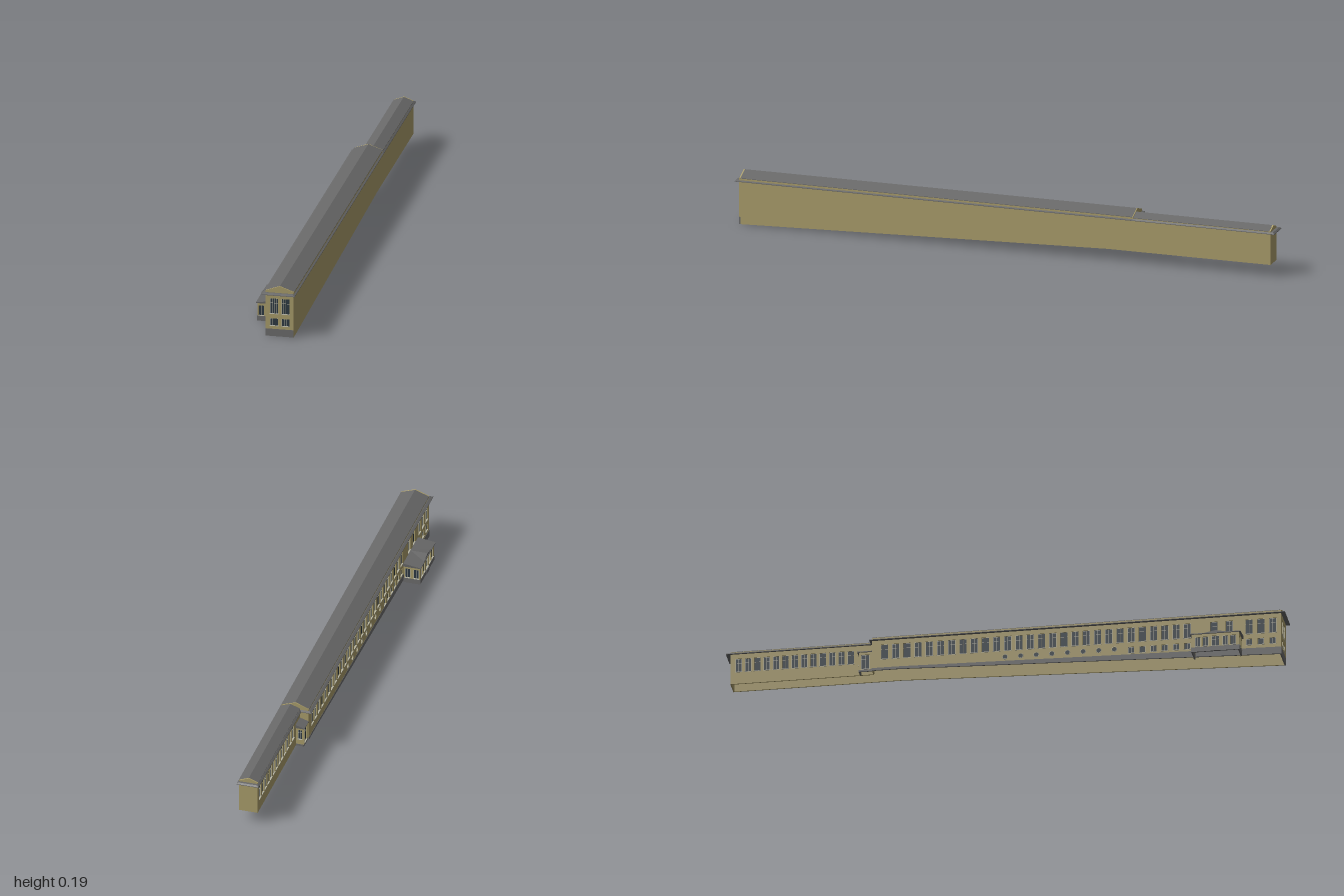
import * as THREE from 'three';
import { mergeGeometries } from 'three/addons/utils/BufferGeometryUtils.js';

const mat = (color) => new THREE.MeshStandardMaterial({ color, side: THREE.DoubleSide });
const TAN = mat(0xada06d), GREY = mat(0x6e6e6e), ROOF = mat(0x686868);
const GLASS = mat(0x2e3a44), FRAME = mat(0xb9b8a8);
const DEPTH = 0.005;

// Sloping ground line, and the top of the plinth above it
const ground = (z) => (z < -0.38 ? 0.043 : 0.043 * (0.985 - z) / 1.365);
const plinth = (z) => (z < -0.38 ? 0.052 : 0.027 + 0.025 * (0.985 - z) / 1.365);

function box(w, h, d, x, y, z) {
  return new THREE.BoxGeometry(w, h, d).translate(x, y, z);
}

function add(parent, name, geometry, material) {
  const mesh = new THREE.Mesh(geometry, material);
  mesh.name = name;
  parent.add(mesh);
  return mesh;
}

// Window record: centre u, bottom v, width, height, pane columns and rows
const win = (u, v, w, h, cols = 2, rows = 2) => ({ u, v, w, h, cols, rows });

// Flat slab from an outline, outer face on local z = out
function slab(pts, holes = [], out = 0) {
  const shape = new THREE.Shape(pts.map((p) => new THREE.Vector2(p[0], p[1])));
  for (const o of holes) {
    const path = new THREE.Path();
    if (o.r) path.absarc(o.u, o.v, o.r, 0, Math.PI * 2, true);
    else {
      const a = o.u - o.w / 2, b = o.u + o.w / 2;
      path.moveTo(a, o.v).lineTo(a, o.v + o.h).lineTo(b, o.v + o.h).lineTo(b, o.v).closePath();
    }
    shape.holes.push(path);
  }
  return new THREE.ExtrudeGeometry(shape, { depth: DEPTH, bevelEnabled: false, curveSegments: 8 })
    .translate(0, 0, out - DEPTH);
}

// Wall with openings, recessed glass, glazing bars, sills and optional plinth
function wall(parent, name, pts, windows, position, turn, plinthPts) {
  const g = new THREE.Group();
  g.name = name;
  add(g, 'wallFace', slab(pts, windows), TAN);
  if (plinthPts) add(g, 'plinth', slab(plinthPts, [], 0.0008), GREY);
  const glass = [], bars = [];
  const t = 0.0012, zb = -DEPTH + 0.0018;
  for (const o of windows) {
    if (o.r) {
      glass.push(new THREE.CylinderGeometry(o.r, o.r, 0.002, 16).rotateX(Math.PI / 2).translate(o.u, o.v, -DEPTH));
      bars.push(new THREE.TorusGeometry(o.r, 0.0011, 4, 16).translate(o.u, o.v, 0));
      continue;
    }
    const cy = o.v + o.h / 2;
    glass.push(box(o.w, o.h, 0.002, o.u, cy, -DEPTH));
    for (let i = 0; i <= o.cols; i++)
      bars.push(box(t, o.h, t, o.u + (i / o.cols - 0.5) * (o.w - t), cy, zb));
    bars.push(box(o.w, t, t, o.u, o.v + o.h - t / 2, zb));
    if (o.rows > 1) bars.push(box(o.w, t, t, o.u, o.v + o.h * 0.68, zb));
    bars.push(box(o.w + 0.003, 0.002, 0.004, o.u, o.v, 0));
  }
  if (glass.length) {
    add(g, 'windowGlass', mergeGeometries(glass), GLASS);
    add(g, 'windowFrames', mergeGeometries(bars), FRAME);
  }
  g.position.set(...position);
  g.rotation.y = turn;
  parent.add(g);
}

const LEFT = Math.PI / 2, RIGHT = -Math.PI / 2, BACK = Math.PI;
const rect = (a, b, y0, y1) => [[a, y0], [b, y0], [b, y1], [a, y1]];
const row = (from, to, n, make) =>
  Array.from({ length: n }, (_, i) => make(from + (to - from) * (n > 1 ? i / (n - 1) : 0)));

// Two thin roof slopes running along z
function gableRoof(parent, name, x0, x1, eave, ridge, z0, z1) {
  const m = (x0 + x1) / 2, t = 0.0015;
  const s = new THREE.Shape([[x0, eave], [m, ridge], [x1, eave], [x1, eave - t], [m, ridge - t], [x0, eave - t]]
    .map((p) => new THREE.Vector2(...p)));
  add(parent, name, new THREE.ExtrudeGeometry(s, { depth: z1 - z0, bevelEnabled: false }).translate(0, 0, z0), ROOF);
}

// Projecting cornice whose top slopes back to the wall
function cornice(parent, name, x0, x1, z0, z1, lip) {
  const cx = (x0 + x1) / 2, cz = (z0 + z1) / 2, w = x1 - x0, d = z1 - z0;
  const lower = box(w, 0.002, d, cx, 0.158, cz);
  const upper = new THREE.BoxGeometry(w, 0.004, d);
  const p = upper.attributes.position;
  for (let i = 0; i < p.count; i++) if (p.getY(i) > 0) {
    p.setX(i, p.getX(i) * (1 - 2 * lip / w));
    p.setZ(i, p.getZ(i) * (1 - 2 * lip / d));
  }
  upper.translate(cx, 0.161, cz);
  const geo = mergeGeometries([lower, upper]).toNonIndexed();
  geo.computeVertexNormals();
  add(parent, name, geo, ROOF);
}

function mainBlock() {
  const g = new THREE.Group();
  g.name = 'mainBlock';
  const x0 = -0.022, x1 = 0.079, xm = 0.028, z0 = -0.475, z1 = 0.985, top = 0.17, peak = 0.188;

  // Gabled front
  const front = [0.008, 0.049].flatMap((x) => [win(x, 0.084, 0.029, 0.057, 4, 2), win(x, 0.039, 0.029, 0.027, 3, 1)]);
  wall(g, 'frontWall', [[x0, 0.027], [x1, 0.027], [x1, top], [xm, peak], [x0, top]], front, [0, 0, z1], 0,
    rect(x0, x1, 0, 0.027));

  // Long window side: tall upper row, lower windows and round windows
  const tall = (z) => win(z, 0.084, 0.026, 0.057, 2, 2);
  const low = (z) => win(z, 0.041, 0.022, 0.025, 2, 1);
  const openings = [
    ...row(-0.43, 0.65, 28, tall), ...row(0.745, 0.8, 2, tall), ...row(0.87, 0.955, 3, tall),
    ...row(0.45, 0.65, 6, low), ...row(0.87, 0.955, 3, low),
    ...row(0.0, 0.39, 8, (z) => ({ u: z, v: 0.061, r: 0.009 })),
  ];
  wall(g, 'windowSideWall',
    [[z0, plinth(z0)], [-0.38, plinth(-0.38)], [z1, 0.027], [z1, top], [z0, top]], openings, [x0, 0, 0], RIGHT,
    [[z0, 0.043], [-0.38, 0.043], [z1, 0], [z1, 0.027], [-0.38, plinth(-0.38)], [z0, plinth(z0)]]);

  // Plain long side
  wall(g, 'plainSideWall', [[-z1, 0], [0.38, 0.043], [-z0, 0.043], [-z0, top], [-z1, top]], [], [x1, 0, 0], LEFT);

  // Back gable above and beside the lower wing
  wall(g, 'backGable', [[-x1, 0.155], [-0.01, 0.155], [-0.01, 0.043], [-x0, 0.043], [-x0, top], [-xm, peak], [-x1, top]],
    [], [0, 0, z0], BACK);

  cornice(g, 'mainCornice', -0.033, 0.085, -0.483, 1.0, 0.009);
  gableRoof(g, 'mainRoof', x0 - 0.001, x1 + 0.001, top, peak, z0 + 0.003, z1 - 0.005);
  return g;
}

function backWing() {
  const g = new THREE.Group();
  g.name = 'backWing';
  const x0 = 0.011, x1 = 0.079, z0 = -0.985, z1 = -0.475, top = 0.167, peak = 0.18;
  wall(g, 'wingWindowWall', rect(z0, z1, 0.043, top),
    row(-0.955, -0.555, 13, (z) => win(z, 0.088, 0.023, 0.052, 2, 2)), [x0, 0, 0], RIGHT);
  wall(g, 'wingPlainWall', rect(-z1, -z0, 0.043, top), [], [x1, 0, 0], LEFT);
  wall(g, 'wingBackWall', [[-x1, 0.043], [-x0, 0.043], [-x0, top], [-0.045, peak], [-x1, top]], [], [0, 0, z0], BACK);
  cornice(g, 'wingCornice', 0.004, 0.085, -1.0, -0.47, 0.006);
  gableRoof(g, 'wingRoof', x0 - 0.001, x1 + 0.001, top, peak, z0 + 0.005, z1);
  return g;
}

// Sloping slab roof that rises from the outer edge to the building
function shedRoof(parent, name, xa, ya, xb, yb, z0, z1) {
  const s = new THREE.Shape([[xa, ya - 0.003], [xb, ya - 0.003], [xb, yb], [xa, ya]].map((p) => new THREE.Vector2(...p)));
  add(parent, name, new THREE.ExtrudeGeometry(s, { depth: z1 - z0, bevelEnabled: false }).translate(0, 0, z0), ROOF);
}

function entrancePavilion() {
  const g = new THREE.Group();
  g.name = 'entrancePavilion';
  const x0 = -0.083, x1 = -0.022, z0 = 0.675, z1 = 0.845, b = 0.018, top = 0.068;
  const ends = [-0.068, -0.037].map((x) => win(x, 0.02, 0.02, 0.037, 2, 1));
  const mirrored = ends.map((o) => ({ ...o, u: -o.u }));
  wall(g, 'pavilionFront', rect(x0, x1, b, top), ends, [0, 0, z1], 0, rect(x0, x1, 0, b));
  wall(g, 'pavilionBack', rect(-x1, -x0, b, top), mirrored, [0, 0, z0], BACK, rect(-x1, -x0, 0, b));
  wall(g, 'pavilionSide', [[z0, b], [z1, b], [z1, top], [0.81, top], [0.76, 0.077], [0.71, top], [z0, top]],
    [...[0.697, 0.725, 0.795, 0.823].map((z) => win(z, 0.02, 0.02, 0.037, 2, 1)), win(0.76, 0.0185, 0.028, 0.04, 2, 2)],
    [x0, 0, 0], RIGHT, rect(z0, z1, 0, b));
  shedRoof(g, 'pavilionRoof', -0.087, 0.07, x1, 0.079, 0.67, 0.85);
  // Small cross gable over the door
  const gable = new THREE.Shape([[0.705, 0.068], [0.815, 0.068], [0.76, 0.079]].map((p) => new THREE.Vector2(...p)));
  add(g, 'doorGable', new THREE.ExtrudeGeometry(gable, { depth: 0.063, bevelEnabled: false })
    .rotateY(RIGHT).translate(-0.022, 0, 0), ROOF);
  // Door step
  add(g, 'doorStep', box(0.004, 0.016, 0.034, -0.0845, 0.008, 0.76), GREY);
  return g;
}

function cornerPorch() {
  const g = new THREE.Group();
  g.name = 'cornerPorch';
  const x0 = -0.018, x1 = 0.011, z0 = -0.522, z1 = -0.475, b = 0.05, top = 0.118;
  wall(g, 'porchSide', rect(z0, z1, b, top), [win(-0.499, 0.052, 0.03, 0.056, 2, 2)], [x0, 0, 0], RIGHT, rect(z0, z1, 0.043, b));
  wall(g, 'porchBack', rect(-x1, -x0, b, top), [win(0.004, 0.07, 0.016, 0.038, 2, 2)], [0, 0, z0], BACK, rect(-x1, -x0, 0.043, b));
  shedRoof(g, 'porchRoof', -0.022, 0.12, x1, 0.13, -0.527, z1);
  return g;
}

export function createModel() {
  const model = new THREE.Group();
  model.name = 'longBuilding';
  model.add(mainBlock(), backWing(), entrancePavilion(), cornerPorch());
  return model;
}
